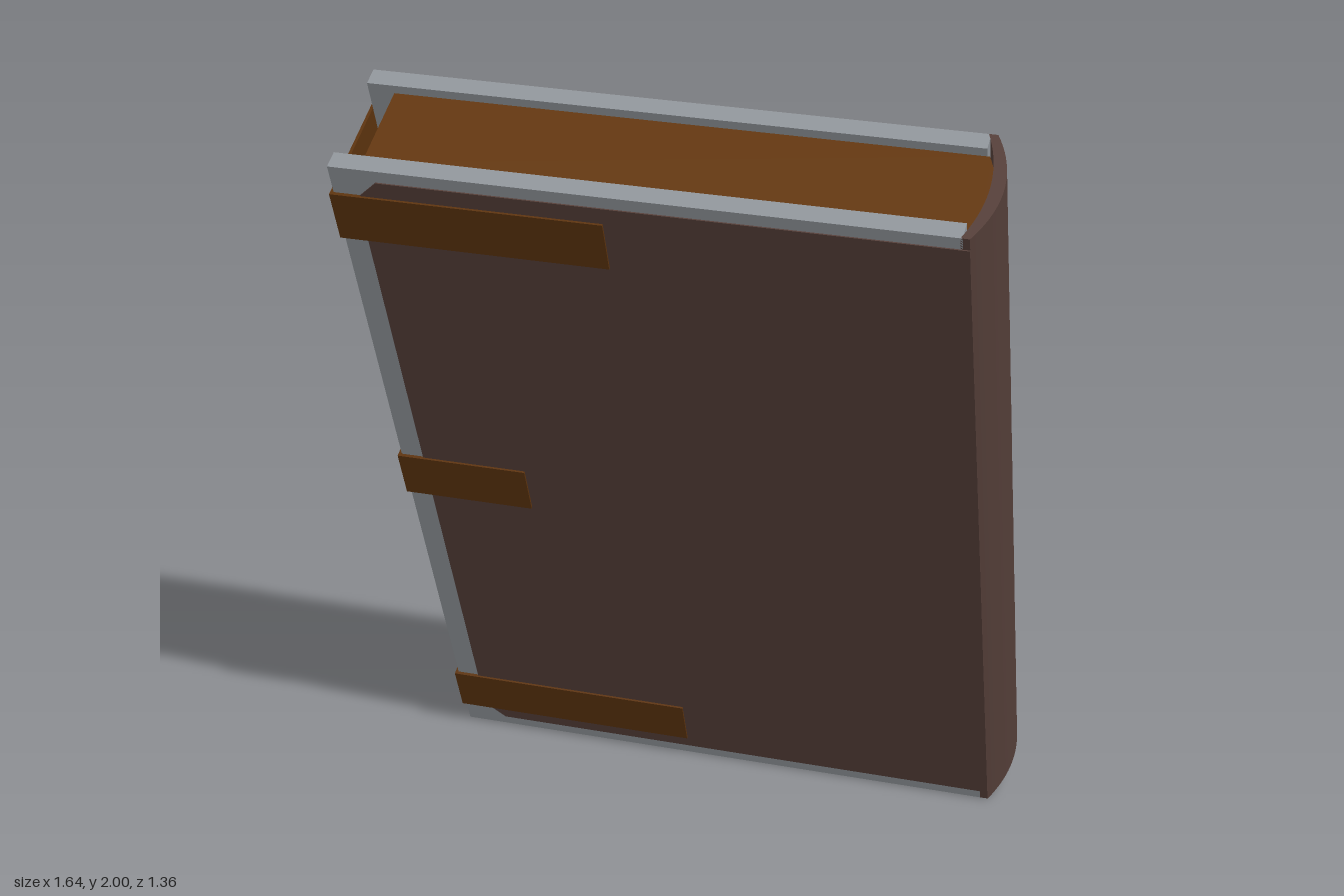
import * as THREE from 'three';

export function createModel() {
  const mat = (name, color) => {
    const m = new THREE.MeshStandardMaterial({ color });
    m.name = name;
    return m;
  };
  const leather = mat('brown leather', 0x553f39);
  const metal = mat('grey board', 0x90959a);
  const paper = mat('tan pages', 0x633710);
  const strapMat = mat('strap leather', 0x5c330e);

  const book = new THREE.Group();
  book.name = 'book';
  const add = (geo, material, name, x = 0, y = 0, z = 0) => {
    const m = new THREE.Mesh(geo, material);
    m.name = name;
    m.position.set(x, y, z);
    book.add(m);
    return m;
  };
  const box = (name, material, x0, x1, y0, y1, z0, z1) =>
    add(new THREE.BoxGeometry(x1 - x0, y1 - y0, z1 - z0), material, name,
      (x0 + x1) / 2, (y0 + y1) / 2, (z0 + z1) / 2);

  const HW = 0.70, HH = 1.008, HT = 0.157, BOARD = 0.045;

  // Shapes drawn across width and thickness, then stood up along the height
  const upright = (shape, half) => {
    const g = new THREE.ExtrudeGeometry(shape, { depth: half * 2, bevelEnabled: false, curveSegments: 20 });
    g.rotateX(-Math.PI / 2);
    g.translate(0, -half, 0);
    return g;
  };

  // Page block with a rounded back
  const inner = HT - BOARD;
  const pageShape = new THREE.Shape();
  pageShape.moveTo(-0.64, -inner);
  pageShape.lineTo(0.69, -inner);
  pageShape.quadraticCurveTo(0.745, 0, 0.69, inner);
  pageShape.lineTo(-0.64, inner);
  add(upright(pageShape, HH - 0.022), paper, 'pages');

  // Curved spine shell
  const spine = new THREE.Shape();
  spine.moveTo(0.68, -HT);
  spine.lineTo(HW, -HT);
  spine.quadraticCurveTo(0.785, 0, HW, HT);
  spine.lineTo(0.68, HT);
  spine.quadraticCurveTo(0.745, 0, 0.68, -HT);
  add(upright(spine, HH), leather, 'spine');

  // Leather panel with clipped corners on the opening side
  const px = -HW + 0.055, py = HH - 0.032, c = 0.05;
  const panelShape = new THREE.Shape([
    [px + c, -py], [HW, -py], [HW, py], [px + c, py], [px, py - c], [px, -py + c],
  ].map(([x, y]) => new THREE.Vector2(x, y)));
  const panelGeo = new THREE.ExtrudeGeometry(panelShape, { depth: 0.005, bevelEnabled: false });
  panelGeo.translate(0, 0, -0.0025);

  const straps = [[0.866, 0.61], [0, 0.31], [-0.872, 0.61]];
  for (const s of [1, -1]) {
    const side = s > 0 ? 'front' : 'back';
    const zMid = s * (HT - BOARD / 2);
    box(side + 'Board', metal, -HW, 0.685, -HH, HH, zMid - BOARD / 2, zMid + BOARD / 2);
    add(panelGeo, leather, side + 'Panel', 0, 0, s * (HT + 0.0005));
    // Strap ends lying on the cover
    for (const [y, len] of straps) {
      const z = s * (HT + 0.004);
      box(side + 'Strap', strapMat, -HW - 0.008, -HW + len, y - 0.066, y + 0.066, z - 0.004, z + 0.004);
    }
  }

  // Straps crossing the open edge, each with a round clasp
  for (const [y] of straps) {
    box('strapBridge', strapMat, -HW - 0.008, -HW - 0.001, y - 0.066, y + 0.066, -HT, HT);
    const clasp = add(new THREE.CylinderGeometry(0.05, 0.055, 0.01, 20), strapMat, 'clasp', -HW - 0.012, y, 0);
    clasp.rotation.z = Math.PI / 2;
  }

  // Sun ornament in shallow relief on the back cover
  const sun = new THREE.Group();
  sun.name = 'sunOrnament';
  sun.position.set(0, 0.05, -HT - 0.002);
  const ring = new THREE.Mesh(new THREE.TorusGeometry(0.145, 0.006, 6, 40), leather);
  ring.name = 'sunRing';
  sun.add(ring);
  const polar = (r, a) => new THREE.Vector3(r * Math.cos(a), r * Math.sin(a), 0);
  const edges = [
    [[0.18, -0.38], [0.25, -0.24], [0.30, 0.0], [0.33, 0.3]],
    [[0.33, 0.3], [0.26, 0.18], [0.21, 0.2], [0.18, 0.38]],
  ];
  for (let i = 0; i < 7; i++) {
    for (const e of edges) {
      const curve = new THREE.CatmullRomCurve3(e.map(([r, a]) => polar(r, a + i * Math.PI * 2 / 7)));
      const flame = new THREE.Mesh(new THREE.TubeGeometry(curve, 14, 0.005, 5), leather);
      flame.name = 'sunFlame';
      sun.add(flame);
    }
  }
  book.add(sun);

  // Lean the whole book
  const w = new THREE.Vector3(0.956, 0, -0.293).normalize();
  const t = new THREE.Vector3(0.275, -0.348, 0.896).normalize();
  const h = new THREE.Vector3().crossVectors(t, w).normalize();
  t.crossVectors(w, h);
  book.quaternion.setFromRotationMatrix(new THREE.Matrix4().makeBasis(w, h, t));
  book.position.y = 1;

  const model = new THREE.Group();
  model.name = 'leaningBook';
  model.add(book);
  return model;
}
